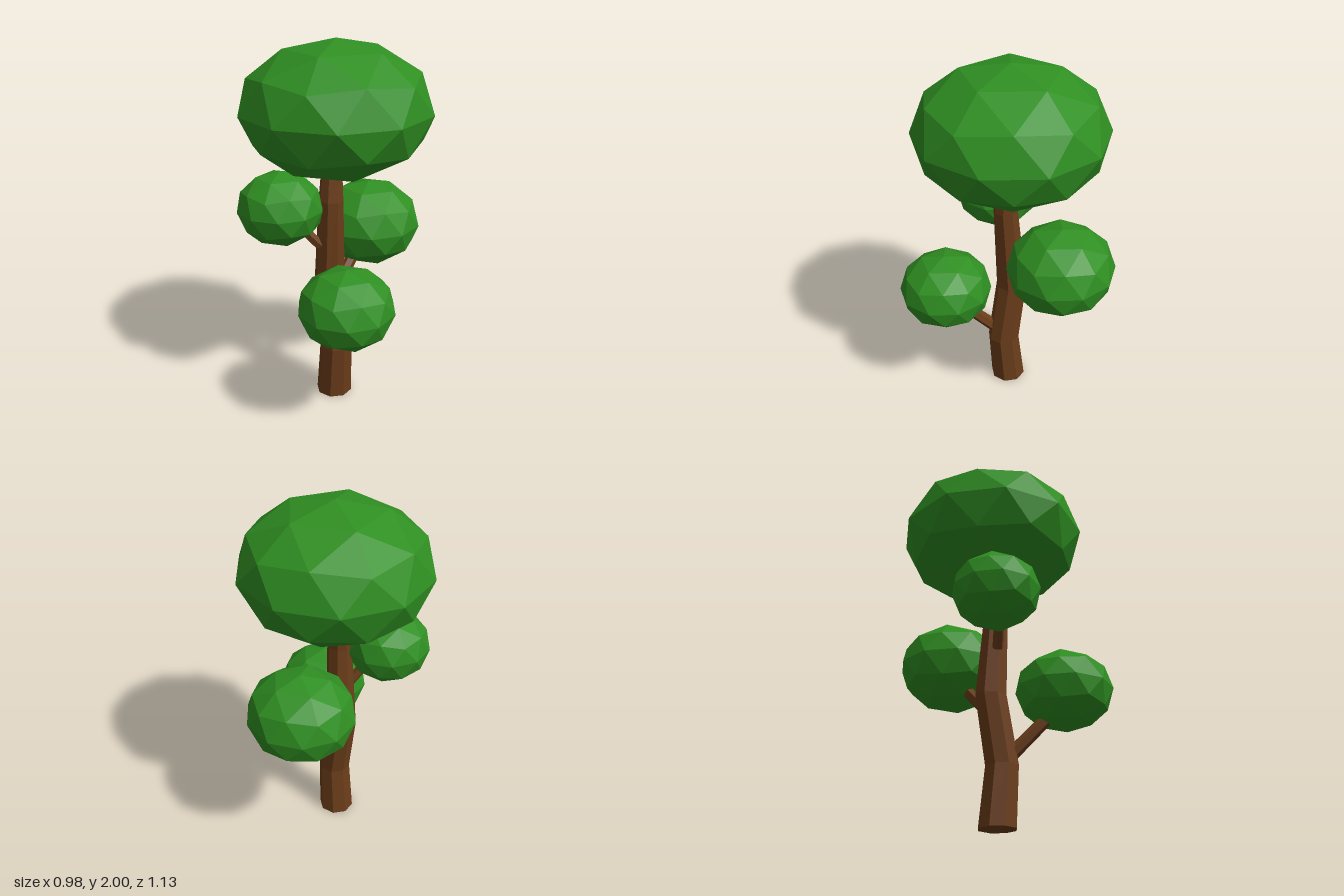
import * as THREE from 'three';

const bark = new THREE.MeshStandardMaterial({ color: 0x6b3d1a, flatShading: true });
const leaf = new THREE.MeshStandardMaterial({ color: 0x2f8f22, flatShading: true });

function addMesh(group, name, geometry, material) {
  const mesh = new THREE.Mesh(geometry, material);
  mesh.name = name;
  group.add(mesh);
  return mesh;
}

// Octagonal trunk: each ring is [x, y, z, radius], from top to bottom
function trunkGeometry(rings) {
  const n = rings.length - 1;
  const geo = new THREE.CylinderGeometry(1, 1, 1, 8, n).rotateY(Math.PI / 8);
  const pos = geo.attributes.position;
  for (let i = 0; i < pos.count; i++) {
    const [x, y, z, r] = rings[Math.round((0.5 - pos.getY(i)) * n)];
    pos.setXYZ(i, x + pos.getX(i) * r, y, z + pos.getZ(i) * r);
  }
  geo.computeVertexNormals();
  return geo;
}

// Straight tapered branch between two points
function addBranch(group, name, from, to, r0, r1) {
  const a = new THREE.Vector3(...from), b = new THREE.Vector3(...to);
  const dir = b.clone().sub(a);
  const mesh = addMesh(group, name, new THREE.CylinderGeometry(r1, r0, dir.length(), 6), bark);
  mesh.position.copy(a).lerp(b, 0.5);
  mesh.quaternion.setFromUnitVectors(new THREE.Vector3(0, 1, 0), dir.normalize());
}

// Faceted foliage ball with a corner pointing straight up
function addFoliage(group, name, center, rx, ry, rz) {
  const golden = (1 + Math.sqrt(5)) / 2;
  const geo = new THREE.IcosahedronGeometry(1, 1).rotateZ(-Math.atan(1 / golden));
  geo.scale(rx, ry, rz);
  addMesh(group, name, geo, leaf).position.set(...center);
}

export function createModel() {
  const tree = new THREE.Group();
  tree.name = 'tree';

  addMesh(tree, 'trunk', trunkGeometry([
    [-0.02, 1.42, 0.06, 0.05],
    [-0.015, 1.17, 0.08, 0.067],
    [-0.04, 0.67, 0.062, 0.086],
    [0.016, 0.31, 0.082, 0.09],
    [-0.007, 0, 0.07, 0.1],
  ]), bark);

  addBranch(tree, 'lowerBranch', [0.045, 0.375, 0.13], [0.2, 0.6, 0.29], 0.036, 0.032);
  addBranch(tree, 'upperBranch', [-0.055, 0.92, 0.13], [-0.15, 1.08, 0.24], 0.03, 0.026);
  addBranch(tree, 'backBranch', [-0.03, 0.61, 0.02], [-0.02, 0.84, -0.22], 0.036, 0.03);

  addFoliage(tree, 'crown', [-0.01, 1.645, 0.038], 0.505, 0.355, 0.507);
  addFoliage(tree, 'upperFoliage', [-0.205, 1.142, 0.268], 0.23, 0.198, 0.23);
  addFoliage(tree, 'lowerFoliage', [0.245, 0.71, 0.312], 0.255, 0.212, 0.254);
  addFoliage(tree, 'backFoliage', [-0.01, 0.937, -0.278], 0.294, 0.242, 0.289);

  return tree;
}
